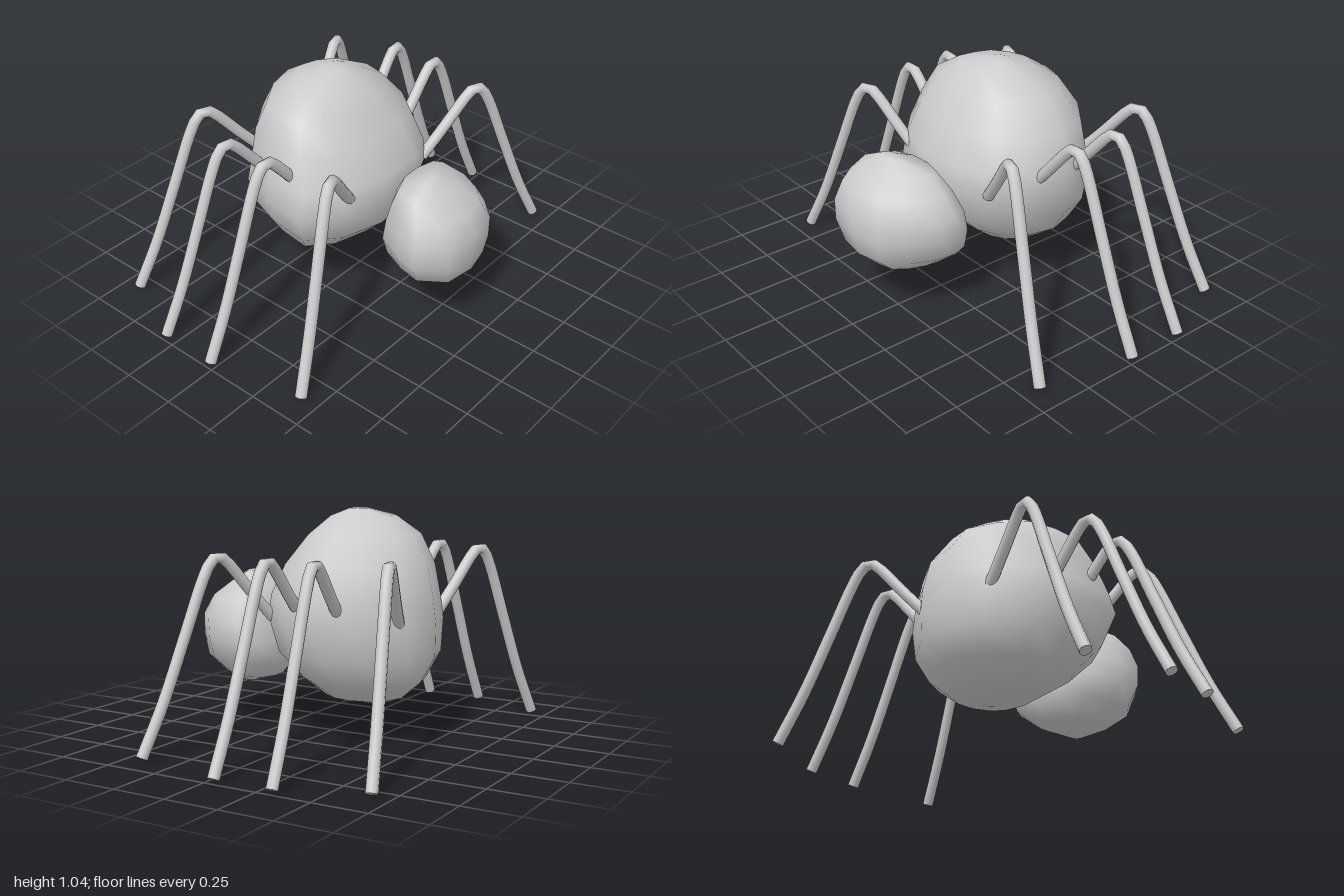
import * as THREE from 'three';
import { mergeVertices } from 'three/addons/utils/BufferGeometryUtils.js';

const grey = new THREE.MeshStandardMaterial({ color: 0xcccccc });

// Lumpy closed form: a plan outline (unit box) fitted to each ring [y, left, right, back, front]
function lumpyForm(name, plan, rings) {
  const close = ([y, x0, x1, z0, z1]) => {
    const x = (x0 + x1) / 2, z = (z0 + z1) / 2;
    return [y, x, x, z, z];
  };
  const all = [close(rings[0]), ...rings, close(rings[rings.length - 1])];
  const n = plan.length, pos = [], index = [];
  for (const [y, x0, x1, z0, z1] of all) {
    for (const [u, v] of plan) {
      pos.push((x0 + x1) / 2 + u * (x1 - x0) / 2, y, (z0 + z1) / 2 + v * (z1 - z0) / 2);
    }
  }
  for (let i = 0; i < all.length - 1; i++) {
    for (let j = 0; j < n; j++) {
      const a = i * n + j, b = i * n + (j + 1) % n, c = a + n, d = b + n;
      if (i > 0) index.push(a, b, c);
      if (i < all.length - 2) index.push(b, d, c);
      else index.push();
      if (i === 0) continue;
    }
  }
  let geo = new THREE.BufferGeometry();
  geo.setAttribute('position', new THREE.Float32BufferAttribute(pos, 3));
  geo.setIndex(index);
  geo = mergeVertices(geo);
  geo.computeVertexNormals();
  const mesh = new THREE.Mesh(geo, grey);
  mesh.name = name;
  return mesh;
}

// Leg bent in a vertical plane: [distance out from the knee, height]
const legProfile = [
  [-0.28, 0.56], [-0.16, 0.69], [-0.065, 0.80], [-0.03, 0.835], [0, 0.85], [0.035, 0.835],
  [0.075, 0.77], [0.18, 0.51], [0.29, 0.24], [0.40, 0.015],
];

function makeLeg(name, side, footX, footZ, slope) {
  const leg = new THREE.Group();
  leg.name = name;
  const len = Math.hypot(1, slope);
  const points = legProfile.map(([r, y]) => new THREE.Vector3(
    side * (footX + (r - 0.40) / len), y, footZ + (r - 0.40) * slope / len));
  const curve = new THREE.CatmullRomCurve3(points);
  leg.add(new THREE.Mesh(new THREE.TubeGeometry(curve, 28, 0.026, 10), grey));
  // Flat end caps
  for (const t of [0, 1]) {
    const cap = new THREE.Mesh(new THREE.CircleGeometry(0.026, 10), grey);
    const out = curve.getTangent(t).multiplyScalar(t ? 1 : -1);
    cap.position.copy(curve.getPoint(t));
    cap.quaternion.setFromUnitVectors(new THREE.Vector3(0, 0, 1), out);
    leg.add(cap);
  }
  return leg;
}

export function createModel() {
  const model = new THREE.Group();
  model.name = 'spider';

  // Large rounded body
  model.add(lumpyForm('body', [
    [0.1, -1], [0.47, -0.87], [0.87, -0.49], [1, -0.04], [0.91, 0.42], [0.65, 0.8], [0.32, 0.97],
    [-0.19, 1], [-0.67, 0.85], [-1, 0.52], [-0.93, -0.04], [-0.78, -0.49], [-0.34, -0.85],
  ], [
    [1.045, -0.08, 0.03, -0.17, -0.09],
    [1.01, -0.24, 0.11, -0.29, 0.01],
    [0.93, -0.37, 0.25, -0.41, 0.09],
    [0.80, -0.43, 0.36, -0.49, 0.18],
    [0.66, -0.47, 0.40, -0.52, 0.25],
    [0.55, -0.50, 0.41, -0.53, 0.26],
    [0.40, -0.44, 0.37, -0.53, 0.22],
    [0.28, -0.35, 0.29, -0.46, 0.10],
    [0.20, -0.19, 0.18, -0.37, 0.00],
    [0.17, -0.06, 0.06, -0.29, -0.13],
  ]));

  // Smaller head at the front
  model.add(lumpyForm('head', [
    [-1, 0.4], [-0.9, -0.1], [-0.68, -0.64], [-0.19, -0.95], [0.37, -1], [0.89, -0.82], [1, -0.5],
    [0.96, -0.09], [0.75, 0.45], [0.44, 0.86], [-0.09, 1], [-0.68, 0.91],
  ], [
    [0.73, -0.12, 0.00, 0.43, 0.49],
    [0.68, -0.23, 0.12, 0.32, 0.56],
    [0.61, -0.28, 0.20, 0.28, 0.65],
    [0.52, -0.31, 0.26, 0.25, 0.69],
    [0.42, -0.31, 0.26, 0.23, 0.69],
    [0.32, -0.26, 0.23, 0.23, 0.67],
    [0.24, -0.15, 0.13, 0.29, 0.58],
    [0.20, -0.04, 0.03, 0.42, 0.50],
  ]));

  // Four pairs of legs: foot x, foot z, plan slope
  const pairs = [
    ['frontLeg', 0.88, 0.415, 0.39],
    ['frontMiddleLeg', 0.975, -0.03, 0],
    ['backMiddleLeg', 0.975, -0.31, -0.12],
    ['backLeg', 0.82, -0.665, -0.35],
  ];
  for (const [name, x, z, slope] of pairs) {
    model.add(makeLeg(name + 'Left', 1, x, z, slope));
    model.add(makeLeg(name + 'Right', -1, x, z, slope));
  }
  return model;
}
